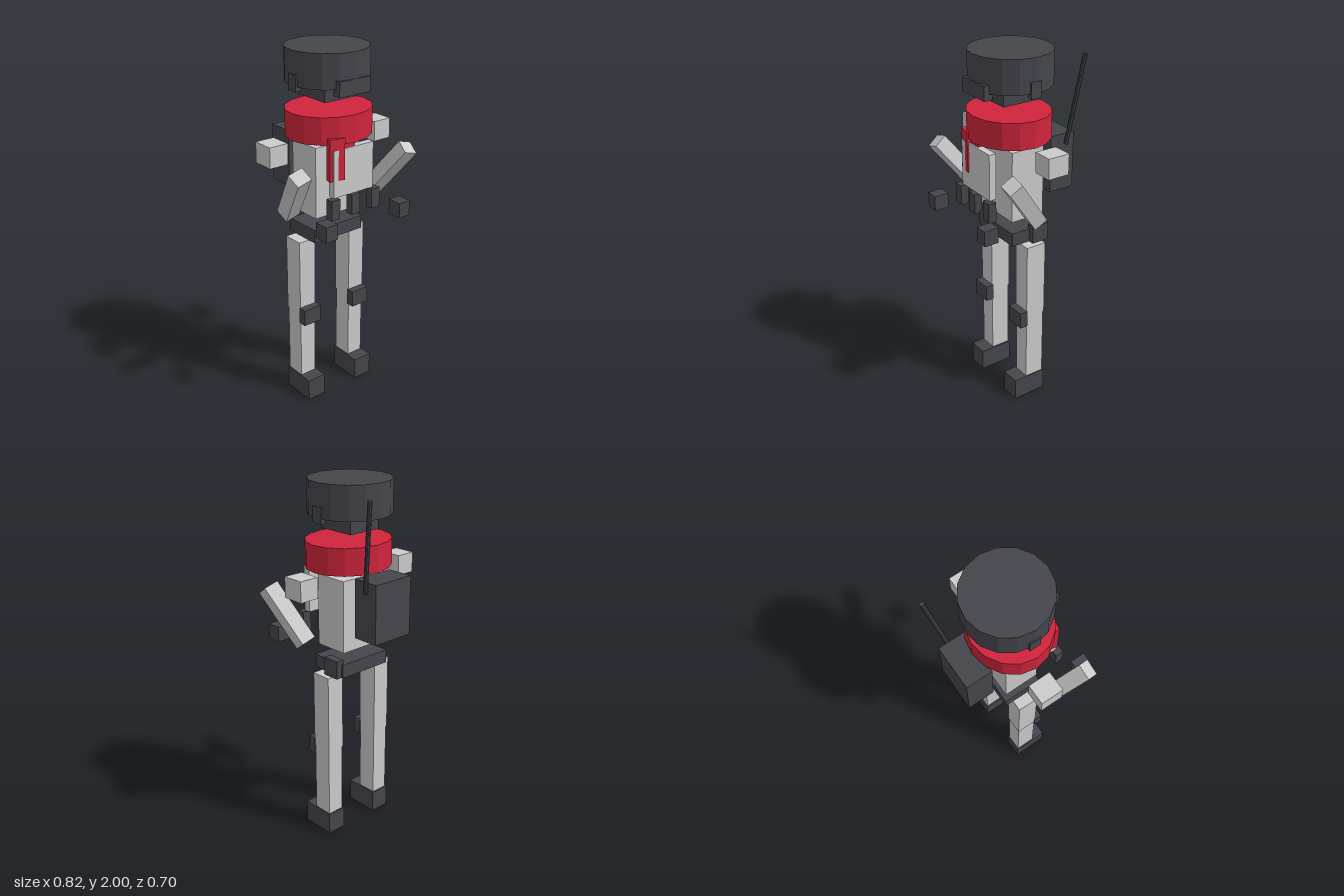
import * as THREE from 'three';

export function createModel() {
  const root = new THREE.Group();
  const mat = (color) => new THREE.MeshStandardMaterial({ color, flatShading: true });
  const grey = mat(0xcccccc), dark = mat(0x45454d), red = mat(0xd0243c);

  const add = (name, geometry, material, x, y, z) => {
    const mesh = new THREE.Mesh(geometry, material);
    mesh.name = name;
    mesh.position.set(x, y, z);
    root.add(mesh);
    return mesh;
  };
  // Box given by its limits on each axis
  const box = (name, m, x0, x1, y0, y1, z0, z1) =>
    add(name, new THREE.BoxGeometry(x1 - x0, y1 - y0, z1 - z0), m, (x0 + x1) / 2, (y0 + y1) / 2, (z0 + z1) / 2);
  // Mirrored pair of boxes, limits given for the +x side
  const pair = (name, m, x0, x1, ...rest) => {
    box('left' + name, m, x0, x1, ...rest);
    box('right' + name, m, -x1, -x0, ...rest);
  };

  // Head and helmet
  box('head', dark, -0.1, 0.1, 1.735, 1.9, -0.115, 0.105);
  add('helmet', new THREE.CylinderGeometry(0.223, 0.223, 0.18, 16), dark, 0, 1.91, -0.005);
  box('visor', dark, -0.1, 0.1, 1.785, 1.865, 0.172, 0.219);
  pair('EarPiece', dark, 0.195, 0.226, 1.795, 1.88, -0.035, 0.027);

  // Scarf collar with hanging ends
  add('scarf', new THREE.CylinderGeometry(0.24, 0.24, 0.145, 16), red, 0, 1.612, 0.007).scale.z = 0.907;
  box('scarfTail', red, -0.147, -0.06, 1.35, 1.575, 0.176, 0.214).rotation.y = -0.2;
  box('scarfKnot', red, -0.08, 0.012, 1.4, 1.57, 0.176, 0.205);

  // Torso, chest plate and pouches
  box('torso', grey, -0.147, 0.147, 1.105, 1.5, -0.113, 0.085);
  box('chestPlate', grey, -0.132, 0.132, 1.26, 1.515, 0.175, 0.215);
  [-0.137, -0.002, 0.134].forEach((x) => box('pouch', dark, x - 0.028, x + 0.028, 1.15, 1.26, 0.195, 0.24));

  // Backpack and slanted antenna
  box('backpack', dark, -0.125, 0.125, 1.205, 1.525, -0.328, -0.177);
  const foot = new THREE.Vector3(0.139, 1.47, -0.266), tip = new THREE.Vector3(0.183, 1.957, -0.338);
  const span = tip.clone().sub(foot);
  const antenna = add('antenna', new THREE.CylinderGeometry(0.012, 0.012, span.length(), 8), dark,
    ...foot.clone().add(tip).multiplyScalar(0.5).toArray());
  antenna.quaternion.setFromUnitVectors(new THREE.Vector3(0, 1, 0), span.normalize());

  // Belt and holster
  box('belt', dark, -0.163, 0.163, 0.97, 1.045, -0.125, 0.095);
  box('holster', dark, 0.15, 0.197, 0.97, 1.07, -0.115, -0.016);

  // Shoulders, slanted arms and hands
  pair('Shoulder', grey, 0.292, 0.403, 1.435, 1.547, -0.08, 0.044);
  for (const s of [1, -1]) {
    const arm = add(s > 0 ? 'leftArm' : 'rightArm', new THREE.BoxGeometry(0.087, 0.353, 0.08), grey, s * 0.324, 1.3, 0.132);
    arm.rotation.set(0.63, 0, -s * 0.266, 'ZYX');
  }
  pair('Hand', dark, 0.212, 0.284, 1.1, 1.185, 0.262, 0.346);

  // Legs
  pair('Thigh', grey, 0.122, 0.226, 0.53, 0.97, -0.077, 0.041);
  pair('Shin', grey, 0.125, 0.223, 0.125, 0.53, -0.073, 0.039);
  pair('KneePad', dark, 0.117, 0.229, 0.475, 0.57, 0.036, 0.084);
  pair('Boot', dark, 0.117, 0.229, 0, 0.125, -0.08, 0.117);

  return root;
}
